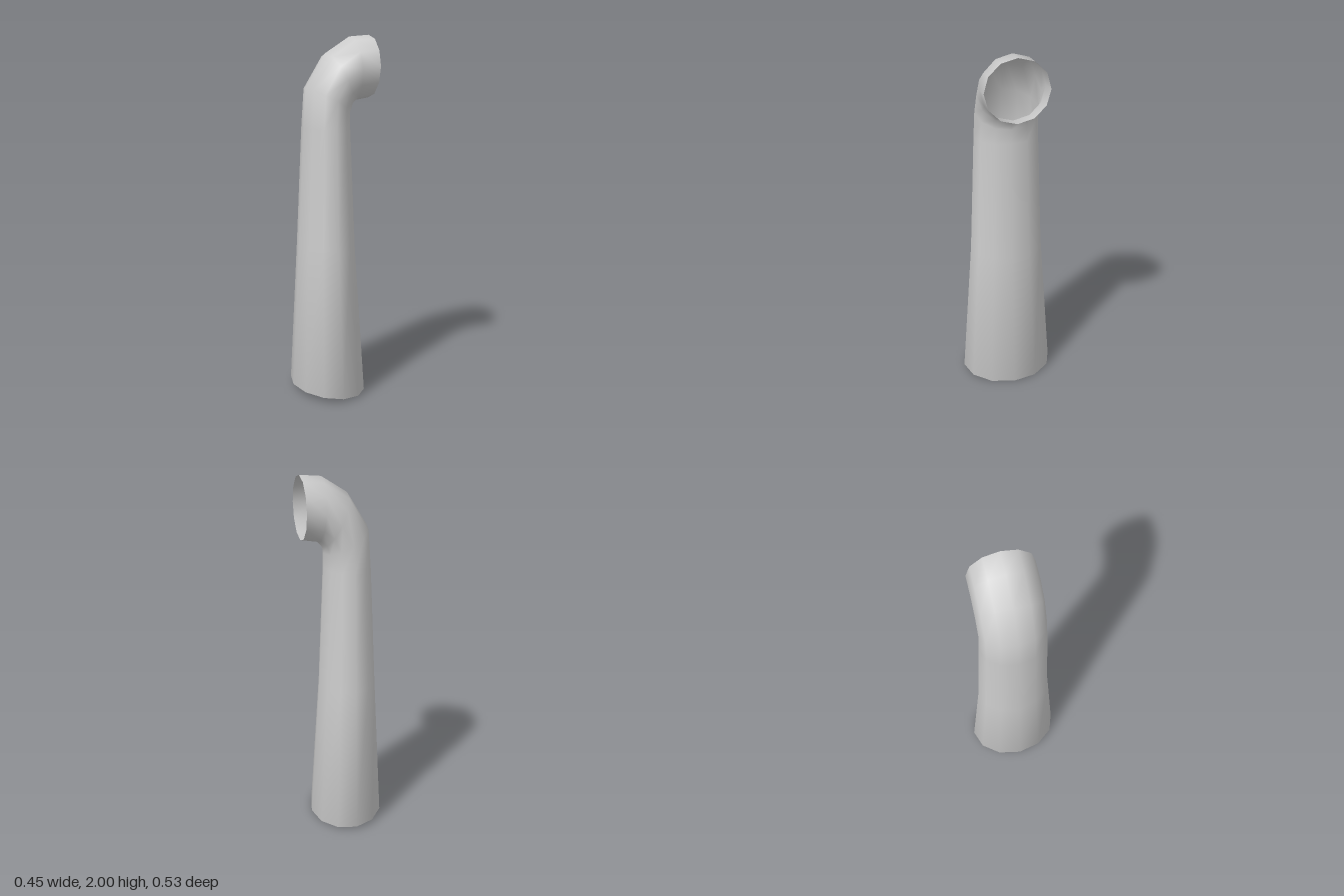
import * as THREE from 'three';

const SIDES = 12;

// Each cross-section: outer bend point [x, y], inner bend point [x, y], half width in z
const SECTIONS = [
  [-0.225, 0.035, 0.185, 0.0, 0.265],
  [-0.185, 0.85, 0.13, 0.82, 0.205],
  [-0.155, 1.5, 0.1, 1.5, 0.178],
  [-0.14, 1.72, 0.1, 1.58, 0.172],
  [-0.03, 1.9, 0.11, 1.62, 0.172],
  [0.11, 1.99, 0.135, 1.645, 0.172],
  [0.225, 2.0, 0.225, 1.66, 0.172],
];

// Skins the elliptical cross-sections into one smooth pipe, closed at the foot
function pipeGeometry() {
  const positions = [];
  const index = [];
  for (const [ox, oy, ix, iy, w] of SECTIONS) {
    for (let j = 0; j < SIDES; j++) {
      const t = (j / SIDES) * Math.PI * 2;
      const k = (1 + Math.cos(t)) / 2;
      positions.push(ox + (ix - ox) * k, oy + (iy - oy) * k, w * Math.sin(t));
    }
  }
  // Walls
  for (let r = 0; r < SECTIONS.length - 1; r++) {
    for (let j = 0; j < SIDES; j++) {
      const n = (j + 1) % SIDES;
      const a = r * SIDES + j;
      const b = r * SIDES + n;
      index.push(a, a + SIDES, b, b, a + SIDES, b + SIDES);
    }
  }
  // Slanted bottom cap
  const [ox, oy, ix, iy] = SECTIONS[0];
  const center = positions.length / 3;
  positions.push((ox + ix) / 2, (oy + iy) / 2, 0);
  for (let j = 0; j < SIDES; j++) index.push(center, j, (j + 1) % SIDES);

  const geometry = new THREE.BufferGeometry();
  geometry.setAttribute('position', new THREE.Float32BufferAttribute(positions, 3));
  geometry.setIndex(index);
  geometry.computeVertexNormals();
  return geometry;
}

export function createModel() {
  const group = new THREE.Group();
  group.name = 'ventPipe';
  const material = new THREE.MeshStandardMaterial({ color: 0xcccccc, side: THREE.DoubleSide });
  const pipe = new THREE.Mesh(pipeGeometry(), material);
  pipe.name = 'bentPipe';
  group.add(pipe);
  return group;
}
